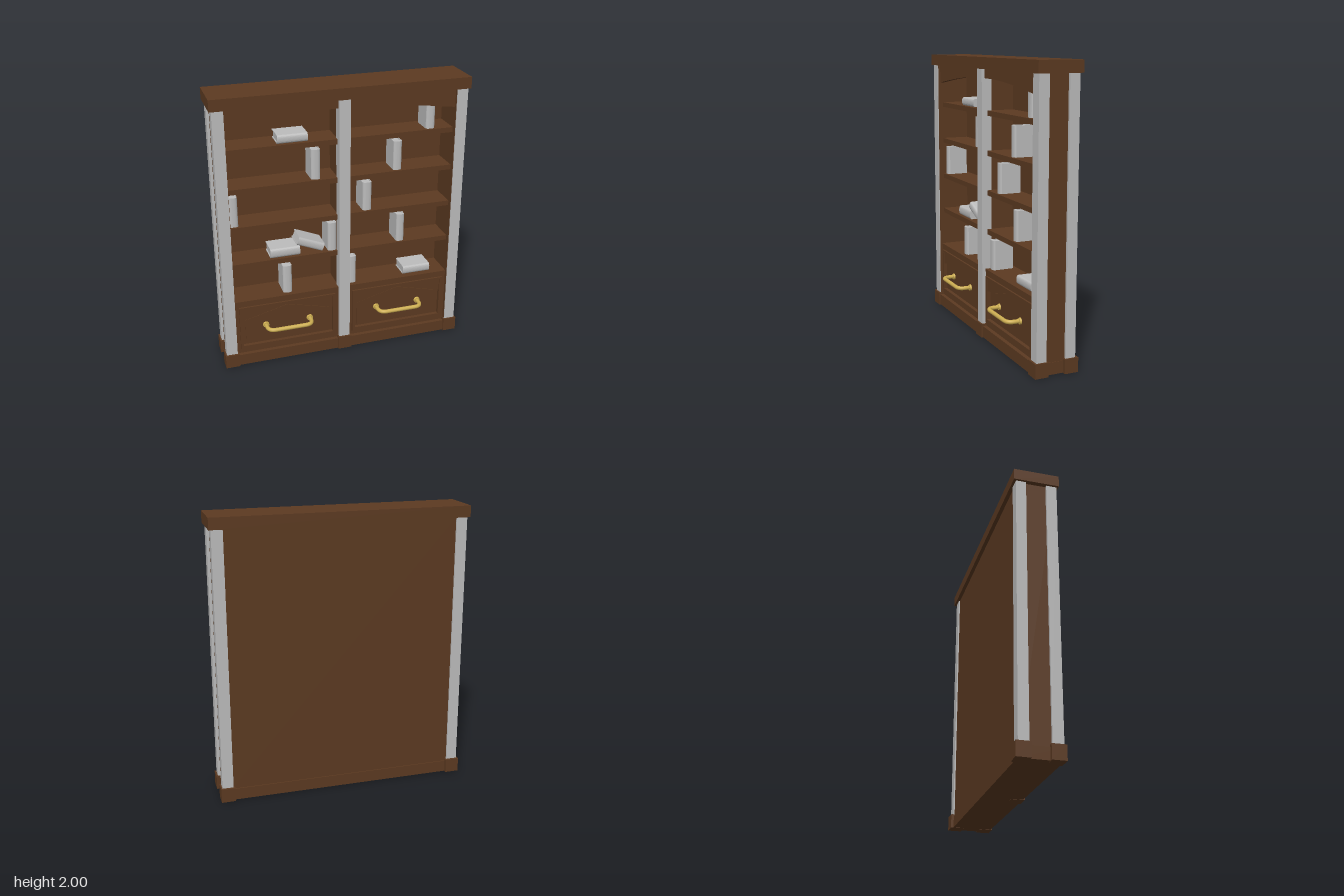
import * as THREE from 'three';

export function createModel() {
  const root = new THREE.Group();
  root.name = 'bookcase';
  const material = (name, color) => {
    const m = new THREE.MeshStandardMaterial({ color });
    m.name = name;
    return m;
  };
  const wood = material('dark wood', 0x5c3a21);
  const grey = material('pale grey', 0xbcbcbc);
  const brass = material('brass', 0xcdae52);

  const add = (name, geometry, mat, parent = root) => {
    const mesh = new THREE.Mesh(geometry, mat);
    mesh.name = name;
    parent.add(mesh);
    return mesh;
  };
  // box given by its limits on each axis
  const box = (name, mat, [x0, x1], [y0, y1], [z0, z1], parent = root) => {
    const mesh = add(name, new THREE.BoxGeometry(x1 - x0, y1 - y0, z1 - z0), mat, parent);
    mesh.position.set((x0 + x1) / 2, (y0 + y1) / 2, (z0 + z1) / 2);
    return mesh;
  };
  const plate = (name, shape, z0, z1, parent = root) => {
    const g = new THREE.ExtrudeGeometry(shape, { depth: z1 - z0, bevelEnabled: false, curveSegments: 24 });
    return add(name, g.translate(0, 0, z0), wood, parent);
  };
  const polygon = (points) => new THREE.Shape(points.map(([x, y]) => new THREE.Vector2(x, y)));

  // carcass
  box('topSlab', wood, [-0.9, 0.9], [1.92, 2], [-0.187, 0.125]);
  box('plinth', wood, [-0.87, 0.87], [0.002, 0.085], [-0.168, 0.113]);
  box('backPanel', wood, [-0.81, 0.81], [0.085, 1.92], [-0.16, -0.13]);
  box('centreDivider', wood, [-0.035, 0.035], [0.085, 1.92], [-0.13, 0.045]);
  box('centrePost', grey, [-0.04, 0.04], [0.1, 1.92], [0.04, 0.112]);
  box('centreFoot', wood, [-0.05, 0.05], [0, 0.1], [0.03, 0.125]);

  // corner posts, feet and side panels
  for (const s of [-1, 1]) {
    const span = (a, b) => (s > 0 ? [a, b] : [-b, -a]);
    box('sidePanel', wood, span(0.803, 0.866), [0.085, 1.92], [-0.155, 0.105]);
    for (const [z0, z1, f0, f1] of [[0.04, 0.112, 0.03, 0.125], [-0.17, -0.1, -0.187, -0.09]]) {
      box('cornerPost', grey, span(0.806, 0.884), [0.1, 1.92], [z0, z1]);
      box('cornerFoot', wood, span(0.795, 0.895), [0, 0.1], [f0, f1]);
    }
  }

  // arched valance under the top
  const arch = new THREE.Shape();
  arch.moveTo(-0.804, 1.92);
  arch.lineTo(-0.804, 1.787);
  arch.bezierCurveTo(-0.4, 1.845, -0.25, 1.856, 0, 1.856);
  arch.bezierCurveTo(0.25, 1.856, 0.4, 1.845, 0.804, 1.787);
  arch.lineTo(0.804, 1.92);
  plate('archedValance', arch, 0.06, 0.09);

  // shelves
  for (const top of [1.635, 1.355, 1.075, 0.795]) {
    for (const s of [-1, 1]) {
      box('shelf', wood, s > 0 ? [0.03, 0.804] : [-0.804, -0.03], [top - 0.036, top], [-0.13, 0.07]);
    }
  }
  box('drawerTopShelf', wood, [-0.804, 0.804], [0.487, 0.507], [-0.13, 0.088]);

  // drawers with framed gable panels and bar handles
  for (const cx of [-0.42, 0.42]) {
    const drawer = new THREE.Group();
    drawer.name = 'drawer';
    drawer.position.x = cx;
    root.add(drawer);
    box('drawerBody', wood, [-0.383, 0.383], [0.085, 0.487], [-0.13, 0.07], drawer);
    const surround = polygon([[-0.383, 0.085], [0.383, 0.085], [0.383, 0.487], [-0.383, 0.487]]);
    surround.holes.push(polygon([[-0.355, 0.115], [0.355, 0.115], [0.355, 0.46], [-0.355, 0.46]]));
    plate('drawerSurround', surround, 0.07, 0.084, drawer);
    const frame = polygon([[-0.355, 0.115], [0.355, 0.115], [0.355, 0.46], [-0.355, 0.46]]);
    frame.holes.push(polygon([[-0.335, 0.145], [0.335, 0.145], [0.335, 0.446], [-0.335, 0.446]]));
    plate('drawerFrame', frame, 0.06, 0.097, drawer);
    const gable = polygon([[-0.335, 0.446], [-0.335, 0.35], [-0.312, 0.356], [0, 0.436],
      [0.312, 0.356], [0.335, 0.35], [0.335, 0.446]]);
    plate('drawerGable', gable, 0.06, 0.09, drawer);
    const panel = polygon([[-0.312, 0.16], [0.312, 0.16], [0.312, 0.345], [0, 0.424], [-0.312, 0.345]]);
    plate('drawerPanel', panel, 0.06, 0.076, drawer);

    const path = new THREE.CurvePath();
    const v = (x, z) => new THREE.Vector3(x, 0.286, z);
    path.add(new THREE.LineCurve3(v(-0.163, 0.07), v(-0.163, 0.122)));
    path.add(new THREE.QuadraticBezierCurve3(v(-0.163, 0.122), v(-0.16, 0.172), v(-0.11, 0.172)));
    path.add(new THREE.LineCurve3(v(-0.11, 0.172), v(0.11, 0.172)));
    path.add(new THREE.QuadraticBezierCurve3(v(0.11, 0.172), v(0.16, 0.172), v(0.163, 0.122)));
    path.add(new THREE.LineCurve3(v(0.163, 0.122), v(0.163, 0.07)));
    add('handle', new THREE.TubeGeometry(path, 64, 0.015, 12, false), brass, drawer);
    for (const x of [-0.163, 0.163]) {
      const rosette = add('handleRosette', new THREE.CylinderGeometry(0.021, 0.024, 0.014, 20), brass, drawer);
      rosette.rotation.x = Math.PI / 2;
      rosette.position.set(x, 0.286, 0.082);
    }
  }

  // a book standing upright, centred on the origin, with its rounded spine to the front
  const makeBook = (thick, tall) => {
    const book = new THREE.Group();
    book.name = 'book';
    const t = thick / 2, b = 0.007;
    const cover = new THREE.Shape();
    cover.moveTo(-t, 0.1);
    cover.lineTo(-t, -0.04);
    cover.quadraticCurveTo(-t * 0.9, -0.055, 0, -0.055);
    cover.quadraticCurveTo(t * 0.9, -0.055, t, -0.04);
    cover.lineTo(t, 0.1);
    cover.lineTo(t - b, 0.1);
    cover.lineTo(t - b, -0.035);
    cover.lineTo(-t + b, -0.035);
    cover.lineTo(-t + b, 0.1);
    const g = new THREE.ExtrudeGeometry(cover, { depth: tall, bevelEnabled: false, curveSegments: 8 });
    g.translate(0, 0, -tall / 2).rotateX(-Math.PI / 2);
    add('bookCover', g, grey, book);
    box('bookPages', grey, [-t + b, t - b], [-tall / 2 + 0.006, tall / 2 - 0.006], [-0.095, 0.036], book);
    // the shape's y axis becomes -z, so the spine ends up towards +z
    root.add(book);
    return book;
  };

  // upright books: left, right, bottom, top
  for (const [x0, x1, y0, y1] of [
    [0.61, 0.675, 1.635, 1.805], [-0.22, -0.155, 1.355, 1.57], [0.375, 0.437, 1.355, 1.566],
    [-0.8, -0.738, 1.075, 1.29], [0.153, 0.218, 1.075, 1.286], [-0.105, -0.042, 0.795, 1.01],
    [0.413, 0.472, 0.795, 1.006], [-0.44, -0.374, 0.507, 0.72], [0.042, 0.107, 0.507, 0.72],
  ]) {
    makeBook(x1 - x0, y1 - y0).position.set((x0 + x1) / 2, (y0 + y1) / 2, 0);
  }
  // lying and leaning books: centre x, centre y, thickness, length, tilt
  for (const [x, y, thick, length, tilt] of [
    [-0.346, 1.666, 0.06, 0.21, 0], [-0.418, 0.829, 0.068, 0.214, 0],
    [0.58, 0.539, 0.062, 0.21, 0], [-0.232, 0.864, 0.06, 0.2, -0.39],
  ]) {
    const book = makeBook(thick, length);
    book.position.set(x, y, 0);
    book.rotation.z = Math.PI / 2 + tilt;
  }
  return root;
}
